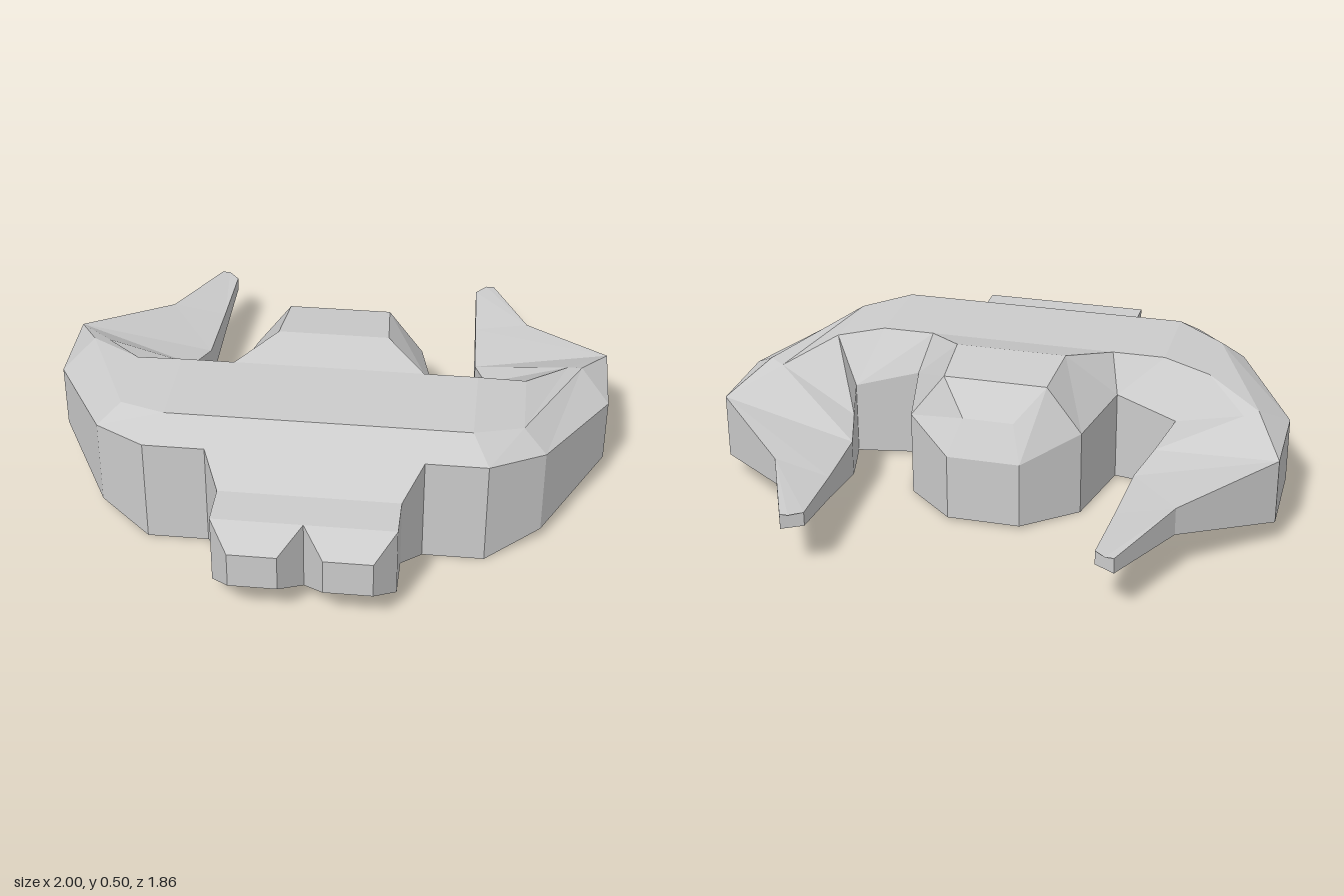
import * as THREE from 'three';

const material = new THREE.MeshStandardMaterial({ color: 0xcccccc, flatShading: true });

// Skin a row of equal-sized loops (each clockwise about the loft direction) and cap both ends.
function loft(name, sections) {
  const positions = [];
  const tri = (a, b, c) => {
    const [A, B, C] = [a, b, c].map((p) => new THREE.Vector3(...p));
    const area = B.clone().sub(A).cross(C.clone().sub(A)).length();
    if (area > 1e-6) positions.push(...a, ...b, ...c);
  };
  const quad = (a, b, c, d) => { tri(a, b, c); tri(a, c, d); };
  const n = sections[0].length;
  for (let i = 0; i < sections.length - 1; i++) {
    const s = sections[i], t = sections[i + 1];
    for (let j = 0; j < n; j++) {
      const k = (j + 1) % n;
      quad(s[j], t[j], t[k], s[k]);
    }
  }
  const first = sections[0], last = sections[sections.length - 1];
  for (let j = 0; j < n / 2 - 1; j++) {
    const k = n - 1 - j;
    quad(first[j], first[j + 1], first[k - 1], first[k]);
    quad(last[k], last[k - 1], last[j + 1], last[j]);
  }
  const geometry = new THREE.BufferGeometry();
  geometry.setAttribute('position', new THREE.Float32BufferAttribute(positions, 3));
  geometry.computeVertexNormals();
  const mesh = new THREE.Mesh(geometry, material);
  mesh.name = name;
  return mesh;
}

const mirror = (loop) => loop.map(([x, y, z]) => [-x, y, z]);

// Crescent hull: outer bottom, outer top, outer ridge, inner ridge, inner top, inner bottom
function createHull() {
  const half = [
    [[0.37, 0, 0.54], [0.37, 0.39, 0.54], [0.34, 0.46, 0.44], [0.34, 0.46, 0.1], [0.375, 0.33, 0.02], [0.375, 0, 0.02]],
    [[0.59, 0, 0.54], [0.59, 0.39, 0.54], [0.53, 0.46, 0.44], [0.53, 0.46, 0.1], [0.6, 0.28, -0.04], [0.6, 0.01, -0.04]],
    [[0.78, 0.04, 0.4], [0.78, 0.36, 0.4], [0.7, 0.43, 0.35], [0.7, 0.43, 0.06], [0.6, 0.28, -0.04], [0.6, 0.01, -0.04]],
    [[1, 0.08, 0], [1, 0.315, 0], [0.9, 0.39, -0.11], [0.85, 0.375, -0.13], [0.554, 0.24, -0.2], [0.554, 0.04, -0.2]],
    [[1, 0.08, -0.32], [1, 0.315, -0.32], [1, 0.315, -0.32], [1, 0.315, -0.32], [0.51, 0.21, -0.35], [0.51, 0.08, -0.35]],
    [[0.7, 0.15, -0.61], [0.7, 0.25, -0.61], [0.7, 0.25, -0.61], [0.7, 0.25, -0.61], [0.5, 0.21, -0.62], [0.5, 0.13, -0.62]],
    [[0.56, 0.17, -0.93], [0.56, 0.225, -0.93], [0.56, 0.225, -0.93], [0.53, 0.225, -0.93], [0.49, 0.22, -0.89], [0.49, 0.17, -0.89]],
  ];
  return loft('crescentHull', [...half.map(mirror).reverse(), ...half]);
}

// Domed pod at the rear: bottom, shoulder and roof corner of each half section
function createPod() {
  const half = [
    [[0.34, 0, 0.1], [0.34, 0.46, 0.1], [0.34, 0.46, 0.1]],
    [[0.375, 0, 0.02], [0.375, 0.33, 0.02], [0.2, 0.5, -0.06]],
    [[0.31, 0, -0.28], [0.31, 0.31, -0.28], [0.185, 0.475, -0.28]],
    [[0.13, 0.01, -0.45], [0.13, 0.25, -0.45], [0.09, 0.37, -0.38]],
  ];
  return loft('rearPod', half.map((h) => [...h, ...mirror(h).reverse()]));
}

// Rectangular section across the z axis
const rect = (x0, x1, y0, y1, z) => [[x0, y0, z], [x0, y1, z], [x1, y1, z], [x1, y0, z]];

export function createModel() {
  const model = new THREE.Group();
  model.name = 'spacecraft';
  model.add(createHull(), createPod());

  // Nose block tapering out of the hull
  model.add(loft('nose', [
    rect(-0.375, 0.375, 0, 0.39, 0.54),
    rect(-0.31, 0.31, 0.07, 0.325, 0.68),
    rect(-0.31, 0.31, 0.07, 0.325, 0.83),
  ]));

  // Two blunt prongs with a notch between them
  model.add(loft('leftProng', [rect(0, 0.31, 0.07, 0.325, 0.83), rect(0.075, 0.24, 0.13, 0.26, 0.93)]));
  model.add(loft('rightProng', [rect(-0.31, 0, 0.07, 0.325, 0.83), rect(-0.24, -0.075, 0.13, 0.26, 0.93)]));
  return model;
}
